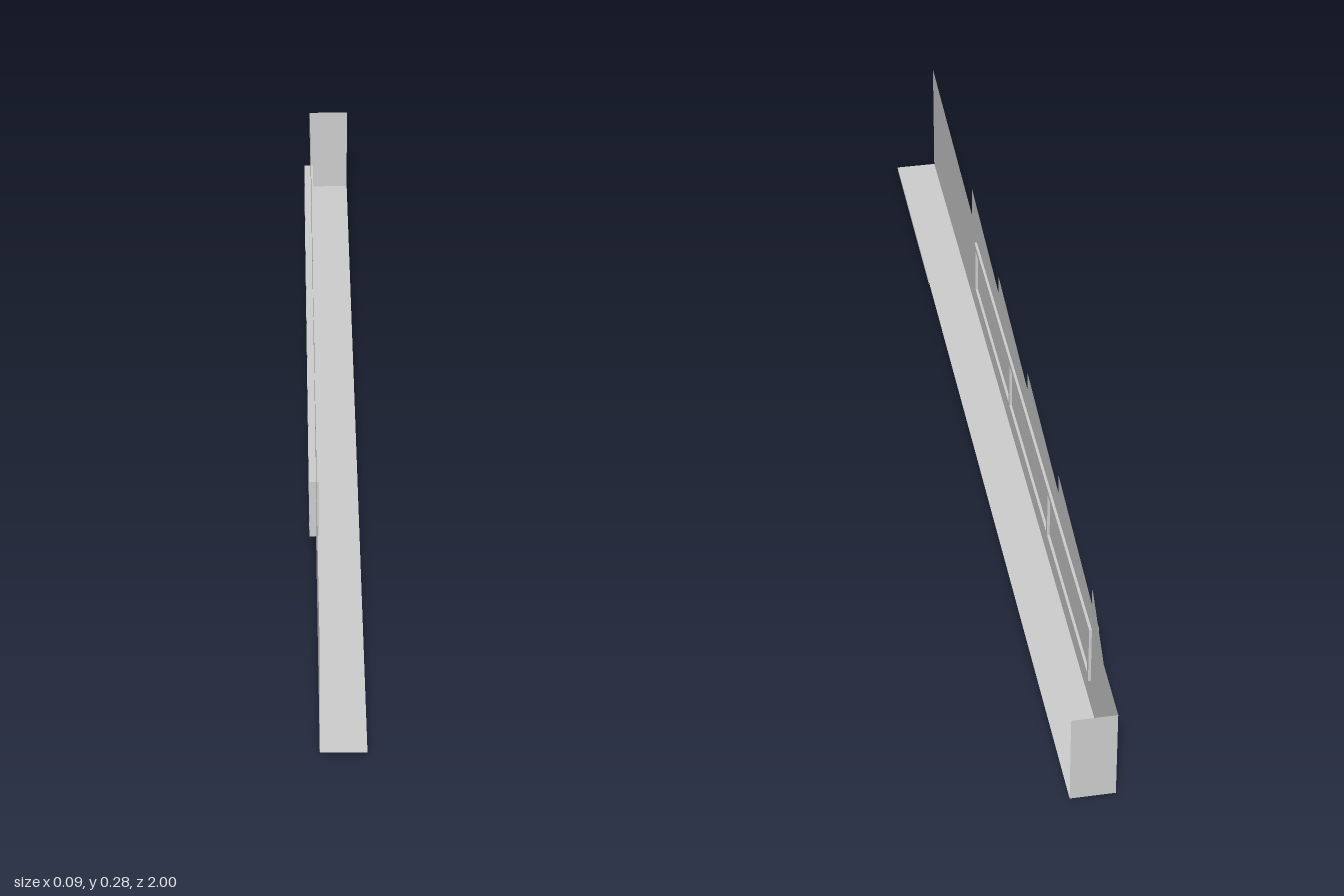
import * as THREE from 'three';

const WALL_X = -0.035, EDGE_X = 0.047, FLOOR_Y = 0.007;

export function createModel() {
  const model = new THREE.Group();
  const material = new THREE.MeshStandardMaterial({ color: 0xcccccc, flatShading: true, side: THREE.DoubleSide });

  function add(name, geometry, x, y, z, parent = model) {
    const mesh = new THREE.Mesh(geometry, material);
    mesh.name = name;
    mesh.position.set(x, y, z);
    parent.add(mesh);
    return mesh;
  }

  // Thin side wall with a sawtooth top, drawn in (z, y)
  const profile = [[-1, FLOOR_Y], [1, FLOOR_Y], [1, 0.253]];
  for (let i = 0; i < 5; i++) {
    const z = 0.492 - i * 0.3145;
    profile.push([z, i === 0 ? 0.213 : 0.24], [z, 0.28]);
  }
  profile.push([-0.875, 0.196], [-1, 0.192]);
  const wallShape = new THREE.Shape(profile.map(([z, y]) => new THREE.Vector2(-z, y)));
  const wallGeometry = new THREE.ShapeGeometry(wallShape).rotateY(Math.PI / 2);
  add('sawtoothWall', wallGeometry, WALL_X, 0, 0);

  // Floor strip and rear end panel
  const width = EDGE_X - WALL_X, midX = (EDGE_X + WALL_X) / 2;
  add('floor', new THREE.PlaneGeometry(width, 2).rotateX(-Math.PI / 2), midX, FLOOR_Y, 0);
  add('endPanel', new THREE.PlaneGeometry(width, 0.185), midX, FLOOR_Y + 0.0925, -1);

  // Small lip hanging under the front part of the floor edge
  add('floorLip', new THREE.PlaneGeometry(0.44, FLOOR_Y).rotateY(Math.PI / 2), EDGE_X, FLOOR_Y / 2, 0.78);

  // Three-pane window frame, standing proud of both faces of the wall
  const frame = new THREE.Group();
  frame.name = 'windowFrame';
  frame.position.set(-0.039, 0.124, -0.168);
  model.add(frame);
  const length = 1.206, height = 0.122, bar = 0.012, depth = 0.018;
  for (const s of [-1, 1]) {
    add('frameRail', new THREE.BoxGeometry(depth, bar, length), 0, s * (height - bar) / 2, 0, frame);
    add('framePost', new THREE.BoxGeometry(depth, height - 2 * bar, bar), 0, 0, s * (length - bar) / 2, frame);
    add('frameDivider', new THREE.BoxGeometry(depth, height - 2 * bar, bar), 0, 0, s * length / 6, frame);
  }

  return model;
}
